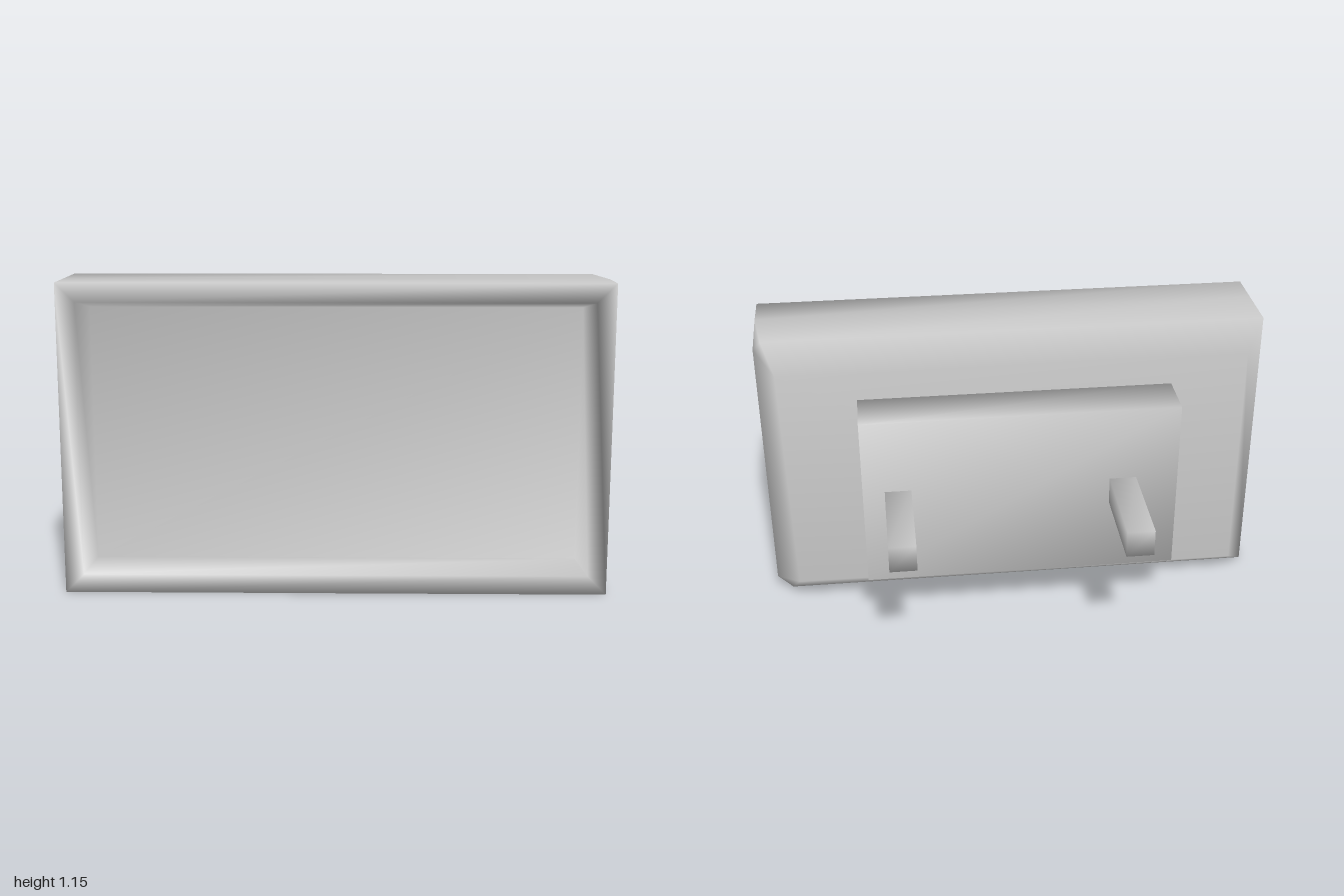
import * as THREE from 'three';
import { mergeVertices } from 'three/addons/utils/BufferGeometryUtils.js';

const material = new THREE.MeshStandardMaterial({ color: 0xcccccc });

// Weld the corners so the shading runs smoothly over the edges
function smooth(geometry) {
  geometry.deleteAttribute('normal');
  geometry.deleteAttribute('uv');
  const welded = mergeVertices(geometry);
  welded.computeVertexNormals();
  return welded;
}

function box(name, x0, x1, y0, y1, z0, z1) {
  const geometry = new THREE.BoxGeometry(x1 - x0, y1 - y0, z1 - z0);
  geometry.translate((x0 + x1) / 2, (y0 + y1) / 2, (z0 + z1) / 2);
  const mesh = new THREE.Mesh(smooth(geometry), material);
  mesh.name = name;
  return mesh;
}

// Rectangle with optional cuts at its two +x corners, counter-clockwise from the front
function ring(x, y0, y1, z, cutLow = 0, cutHigh = 0) {
  return [
    [-x, y0, z], [x - cutLow, y0, z], [x, y0 + cutLow, z],
    [x, y1 - cutHigh, z], [x - cutHigh, y1, z], [-x, y1, z],
  ];
}

// Join rings from back to front and close both ends
function loft(rings) {
  const n = rings[0].length;
  const index = [];
  for (let j = 0; j < rings.length - 1; j++) {
    for (let i = 0; i < n; i++) {
      const a = j * n + i, b = j * n + (i + 1) % n;
      index.push(a, b, b + n, a, b + n, a + n);
    }
  }
  const last = (rings.length - 1) * n;
  for (let i = 1; i < n - 1; i++) {
    index.push(0, i + 1, i);
    index.push(last, last + i, last + i + 1);
  }
  const geometry = new THREE.BufferGeometry();
  geometry.setAttribute('position', new THREE.Float32BufferAttribute(rings.flat(2), 3));
  geometry.setIndex(index);
  return smooth(geometry);
}

export function createModel() {
  const group = new THREE.Group();
  group.name = 'wallScreen';

  // Casing: bevelled back, full sides, flat rim and recessed screen
  const back = ring(0.92, 0.08, 1.05, 0.06);
  back[1] = back[2] = [0.9, 0.12, 0.025]; // bulging lower corner
  const casing = new THREE.Mesh(loft([
    back,
    ring(1, 0, 1.15, 0.16, 0.06, 0.03),
    ring(1, 0, 1.15, 0.37),
    ring(1, 0, 1.15, 0.525),
    ring(0.93, 0.07, 1.08, 0.525),
    ring(0.9, 0.1, 1.05, 0.4),
  ]), material);
  casing.name = 'casing';
  group.add(casing);

  // Wall bracket with two pegs
  group.add(box('mountPlate', -0.62, 0.615, 0.222, 0.933, -0.14, 0.07));
  group.add(box('rightPeg', -0.455, -0.35, 0.525, 0.632, -0.525, -0.13));
  group.add(box('leftPeg', 0.427, 0.53, 0.525, 0.632, -0.525, -0.13));
  return group;
}
